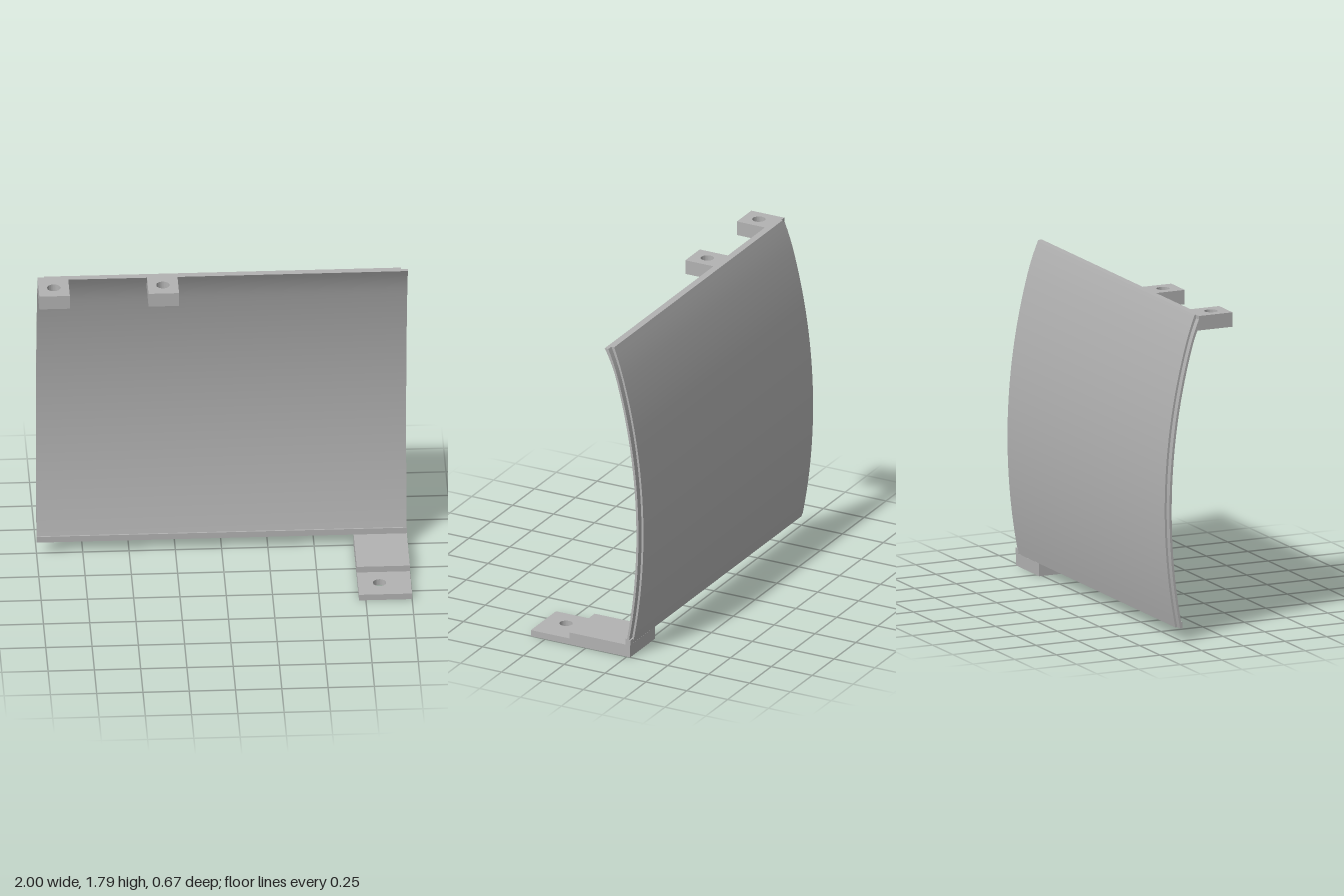
import * as THREE from 'three';
import { toCreasedNormals } from 'three/addons/utils/BufferGeometryUtils.js';

// Profiles are [depth behind centre (-z), height].
const R = 3.35, MID_Y = 0.72;
const arc = (peak, y) => peak - R + Math.sqrt(R * R - (y - MID_Y) ** 2);

// Samples one curved face, leaning forward a little more near the top edge.
function curve(peak, lean, y0) {
  const pts = [], n = 48;
  for (let i = 0; i <= n; i++) {
    const y = y0 + (1.79 - y0) * i / n;
    const t = Math.max(0, (y - 1.62) / 0.17);
    pts.push(new THREE.Vector2(arc(peak, y) - lean * t * t, y));
  }
  return pts;
}

export function createModel() {
  const group = new THREE.Group();
  const grey = new THREE.MeshStandardMaterial({ color: 0xb2b2b2 });
  grey.name = 'grey';

  function add(name, geometry) {
    const mesh = new THREE.Mesh(geometry, grey);
    mesh.name = name;
    group.add(mesh);
  }

  // Sideways extrusion of a depth/height profile between two x positions
  function slab(name, points, x0, x1) {
    const g = new THREE.ExtrudeGeometry(new THREE.Shape(points), { depth: x1 - x0, bevelEnabled: false });
    g.rotateY(Math.PI / 2).translate(x0, 0, 0);
    add(name, toCreasedNormals(g, 0.35));
  }

  function box(name, x0, x1, y0, y1, z0, z1) {
    const g = new THREE.BoxGeometry(x1 - x0, y1 - y0, z1 - z0);
    add(name, g.translate((x0 + x1) / 2, (y0 + y1) / 2, (z0 + z1) / 2));
  }

  // Horizontal plate with one round vertical hole
  function holedPlate(name, x0, x1, y0, y1, z0, z1, hx, hz) {
    const s = new THREE.Shape([[x0, -z1], [x1, -z1], [x1, -z0], [x0, -z0]].map(p => new THREE.Vector2(...p)));
    s.holes.push(new THREE.Path().absarc(hx, -hz, 0.036, 0, Math.PI * 2, true));
    const g = new THREE.ExtrudeGeometry(s, { depth: y1 - y0, bevelEnabled: false, curveSegments: 24 });
    g.rotateX(-Math.PI / 2).translate(0, y0, 0);
    add(name, toCreasedNormals(g, 0.5));
  }

  // Curved panel: full-width inner skin with a bottom lip, narrower outer skin
  const inner = curve(0.308, 0.018, 0.105);
  const mid = curve(0.321, 0.009, 0.07);
  const outer = curve(0.333, 0.004, 0.07);
  const lip = [new THREE.Vector2(0.243, 0.07), new THREE.Vector2(0.243, 0.105)];
  slab('innerPanel', [...mid, ...inner.slice().reverse(), ...lip.slice().reverse()], -1, 1);
  slab('outerPanel', [...outer, ...mid.slice().reverse()], -0.965, 0.965);

  // Upper tabs with blind screw holes
  for (const x of [-1, -0.41]) {
    box('tabBase', x, x + 0.165, 1.71, 1.73, -0.16, 0.057);
    holedPlate('tabTop', x, x + 0.165, 1.73, 1.79, -0.145, 0.057, x + 0.082, -0.033);
  }

  // Stepped lower bracket
  box('bracketBlock', 0.713, 1, 0, 0.07, -0.27, 0.1);
  holedPlate('bracketFoot', 0.713, 1, 0, 0.035, 0.1, 0.337, 0.83, 0.213);
  box('bracketCorner', 0.965, 1, 0.07, 0.1, -0.272, -0.25);

  return group;
}
